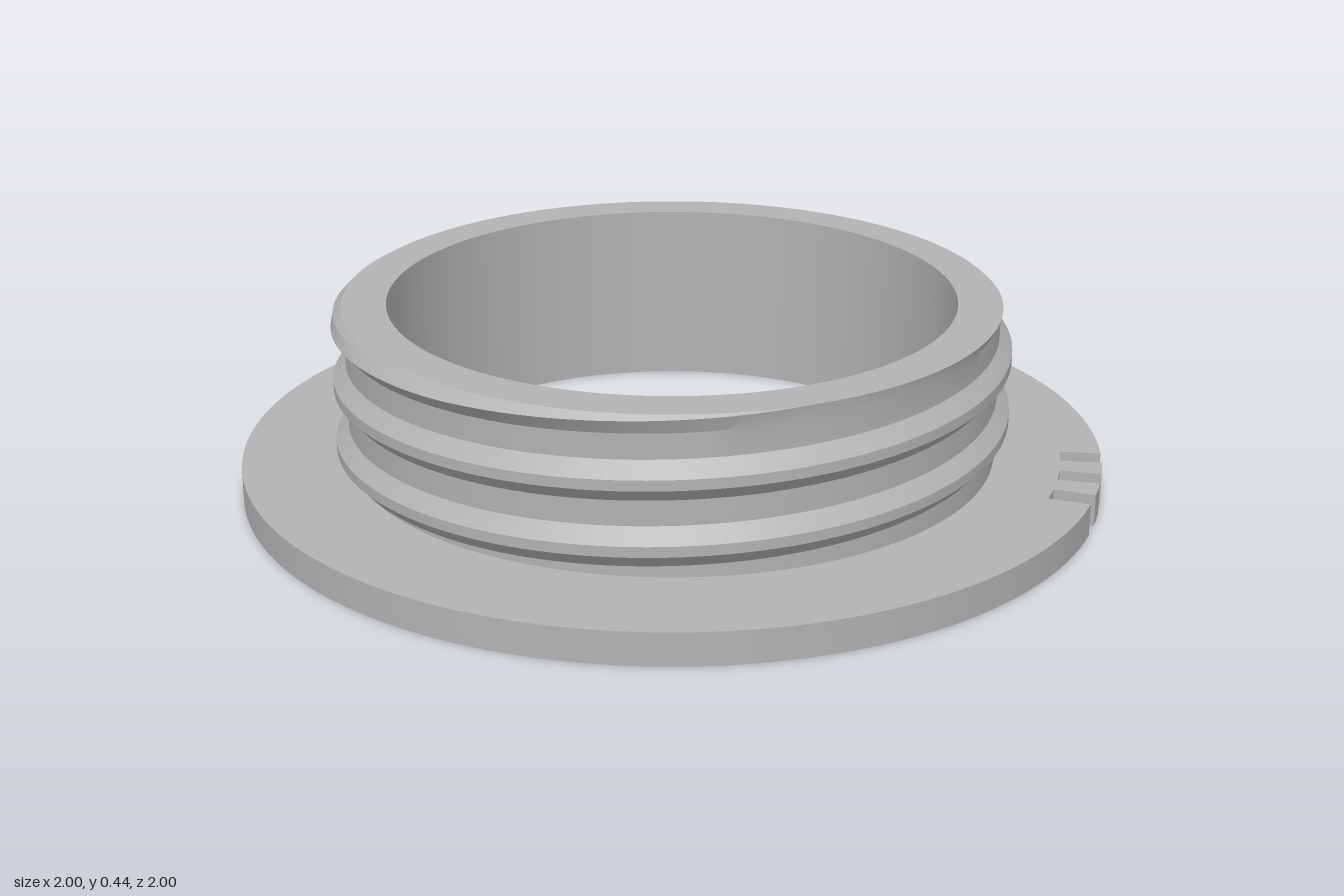
import * as THREE from 'three';
import { toCreasedNormals } from 'three/addons/utils/BufferGeometryUtils.js';

const BORE = 0.655, FLANGE_H = 0.075, TOP = 0.437;
const ROOT = 0.752, CREST = 0.782, PITCH = 0.147;
// one thread tooth: [height offset, radius]
const TOOTH = [[-0.045, ROOT], [-0.012, CREST], [0.012, CREST], [0.045, ROOT]];

// radius of the thread at a height measured from the helix
function threadRadius(h) {
  const d = Math.abs(h - PITCH * Math.round(h / PITCH));
  const t = THREE.MathUtils.clamp((d - 0.012) / 0.033, 0, 1);
  return CREST + (ROOT - CREST) * t;
}

// flat ring with three radial notches on the +x rim
function flangeGeometry() {
  const shape = new THREE.Shape();
  const half = 0.0275, inner = 0.905;
  const outerHalf = Math.asin(half);
  const step = 0.124;
  [-1, 0, 1].forEach((n, i) => {
    const a = n * step, c = Math.cos(a), s = Math.sin(a);
    const corner = (r, w) => [r * c - w * s, r * s + w * c];
    const rim = Math.cos(outerHalf);
    if (i === 0) shape.moveTo(...corner(rim, -half));
    shape.lineTo(...corner(inner, -half));
    shape.lineTo(...corner(inner, half));
    shape.lineTo(...corner(rim, half));
    // rim to the next notch
    const end = i < 2 ? a + step - outerHalf : 2 * Math.PI - step - outerHalf;
    const start = a + outerHalf, segs = i < 2 ? 4 : 140;
    for (let k = 1; k <= segs; k++) {
      const t = start + (end - start) * k / segs;
      shape.lineTo(Math.cos(t), Math.sin(t));
    }
  });
  const hole = new THREE.Path();
  hole.absarc(0, 0, BORE, 0, Math.PI * 2, true);
  shape.holes.push(hole);
  const g = new THREE.ExtrudeGeometry(shape, { depth: FLANGE_H, bevelEnabled: false, curveSegments: 72 });
  g.rotateX(-Math.PI / 2);
  return toCreasedNormals(g, 0.3);
}

// sleeve skin: helical rows outside, flat rim on top, plain bore inside
function sleeveGeometry() {
  const segs = 144, pos = [], idx = [];
  let rows = 0;
  for (let i = 0; i <= segs; i++) {
    const turn = i / segs, a = turn * Math.PI * 2;
    const helix = 0.03 + PITCH * turn;
    const profile = [];
    const outer = (y) => {
      y = THREE.MathUtils.clamp(y, FLANGE_H, TOP);
      // small lead-in chamfer below the rim
      profile.push([Math.min(threadRadius(y - helix), 0.757 + TOP - y), y]);
    };
    outer(FLANGE_H);
    for (let k = -1; k <= 3; k++) for (const [h] of TOOTH) outer(helix + k * PITCH + h);
    outer(TOP);
    profile.push([BORE, TOP], [BORE, FLANGE_H]);
    rows = profile.length;
    for (const [r, y] of profile) pos.push(r * Math.cos(a), y, -r * Math.sin(a));
  }
  for (let i = 0; i < segs; i++) {
    for (let j = 0; j < rows - 1; j++) {
      const a = i * rows + j, b = a + rows;
      idx.push(a, b, b + 1, a, b + 1, a + 1);
    }
  }
  const g = new THREE.BufferGeometry();
  g.setAttribute('position', new THREE.Float32BufferAttribute(pos, 3));
  g.setIndex(idx);
  return toCreasedNormals(g, 0.3);
}

export function createModel() {
  const grey = new THREE.MeshStandardMaterial({ color: 0xb2b2b2 });
  grey.name = 'grey';
  const group = new THREE.Group();
  group.name = 'threadedFlange';
  const add = (name, geometry) => {
    const mesh = new THREE.Mesh(geometry, grey);
    mesh.name = name;
    group.add(mesh);
  };
  add('notchedFlange', flangeGeometry());
  add('threadedSleeve', sleeveGeometry());
  return group;
}
